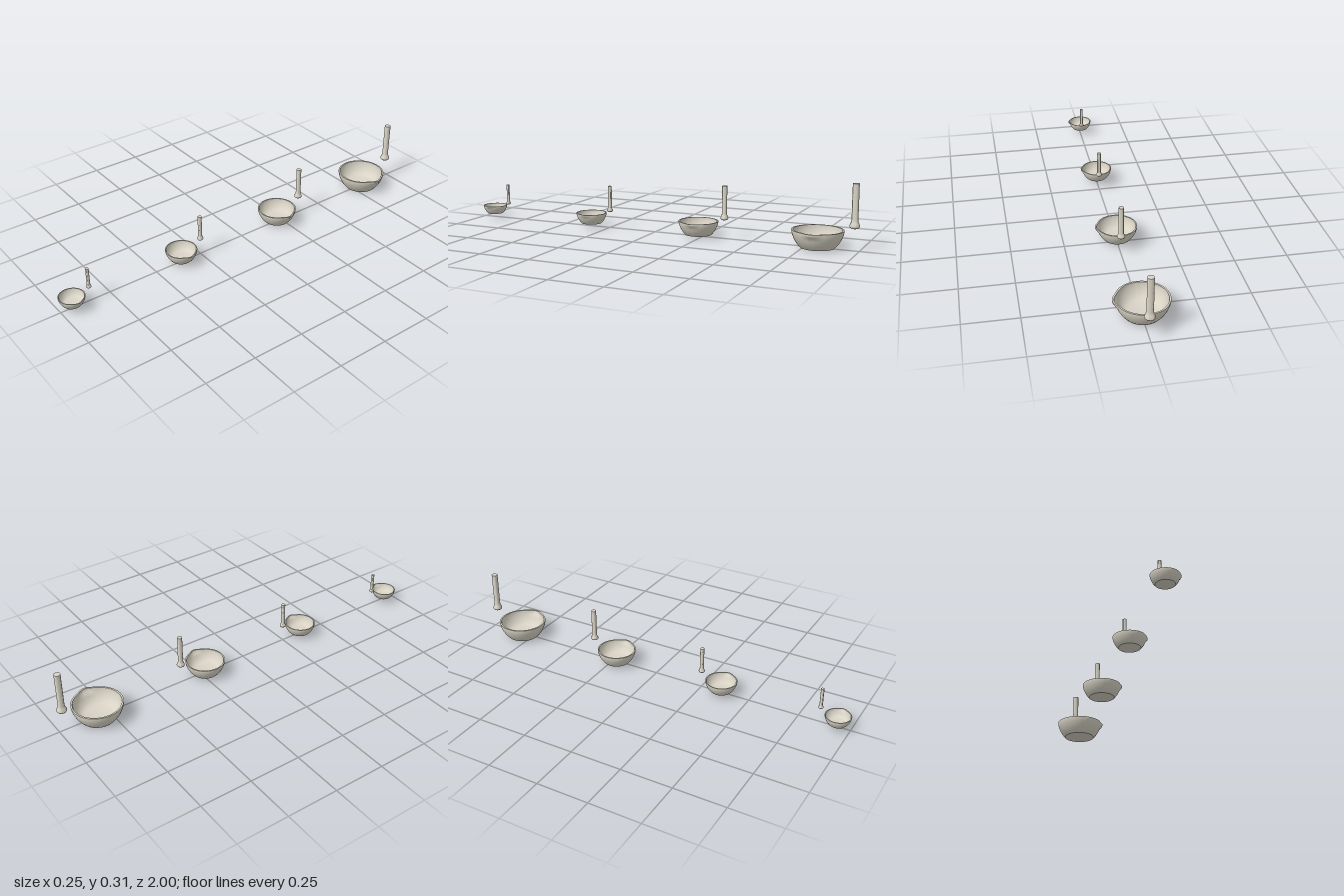
import * as THREE from 'three';
import { toCreasedNormals } from 'three/addons/utils/BufferGeometryUtils.js';

const stone = new THREE.MeshStandardMaterial({ color: 0xd8d3c5 });
stone.name = 'pale stone';

const lathe = (profile, segments) =>
  new THREE.LatheGeometry(profile.map(([r, y]) => new THREE.Vector2(r, y)), segments);

// Flat-bottomed bowl with a pouring lip pulled out on the +x side
function bowlGeometry() {
  const geo = lathe([
    [0, 0], [0.079, 0], [0.089, 0.011], [0.098, 0.023], [0.1055, 0.036], [0.111, 0.048],
    [0.1145, 0.057], [0.117, 0.066], [0.1185, 0.074], [0.119, 0.082],
    [0.111, 0.082], [0.1105, 0.074], [0.109, 0.066], [0.1065, 0.057], [0.103, 0.048],
    [0.097, 0.036], [0.088, 0.024], [0.077, 0.015], [0.063, 0.011], [0, 0.011],
  ], 96);
  const p = geo.attributes.position;
  for (let i = 0; i < p.count; i++) {
    const x = p.getX(i), z = p.getZ(i);
    const angle = Math.abs(Math.atan2(z, x));
    if (angle > 0.5 || Math.hypot(x, z) < 0.08) continue;
    const side = Math.cos((angle / 0.5) * Math.PI / 2) ** 2;
    const rise = THREE.MathUtils.smoothstep(p.getY(i), 0.054, 0.074);
    p.setX(i, x + 0.011 * side * rise);
  }
  return toCreasedNormals(geo, 0.6);
}

// Straight handle with a rounded, flared grinding end
function pestleGeometry() {
  return toCreasedNormals(lathe([
    [0, 0], [0.009, 0.0008], [0.016, 0.003], [0.0205, 0.0065], [0.0232, 0.011],
    [0.0235, 0.015], [0.0215, 0.020], [0.0185, 0.026], [0.0162, 0.033], [0.015, 0.042],
    [0.015, 0.205], [0, 0.205],
  ], 40), 0.6);
}

export function createModel() {
  const model = new THREE.Group();
  model.name = 'mortarAndPestleSet';
  const bowlGeo = bowlGeometry();
  const pestleGeo = pestleGeometry();

  // Four sets, each 0.8 times the size of the one behind, centred at bowl mid-height
  const mid = 0.041;
  for (let i = 0; i < 4; i++) {
    const set = new THREE.Group();
    set.name = `mortarSet${i + 1}`;
    set.position.set(0, mid, -0.808 + i * 0.582);
    set.scale.setScalar(0.8 ** i);

    const bowl = new THREE.Mesh(bowlGeo, stone);
    bowl.name = 'bowl';
    bowl.position.set(-0.0055, -mid, 0);

    const pestle = new THREE.Mesh(pestleGeo, stone);
    pestle.name = 'pestle';
    pestle.position.set(0.0012, 0.1 - mid, -0.1675);

    set.add(bowl, pestle);
    model.add(set);
  }
  return model;
}
